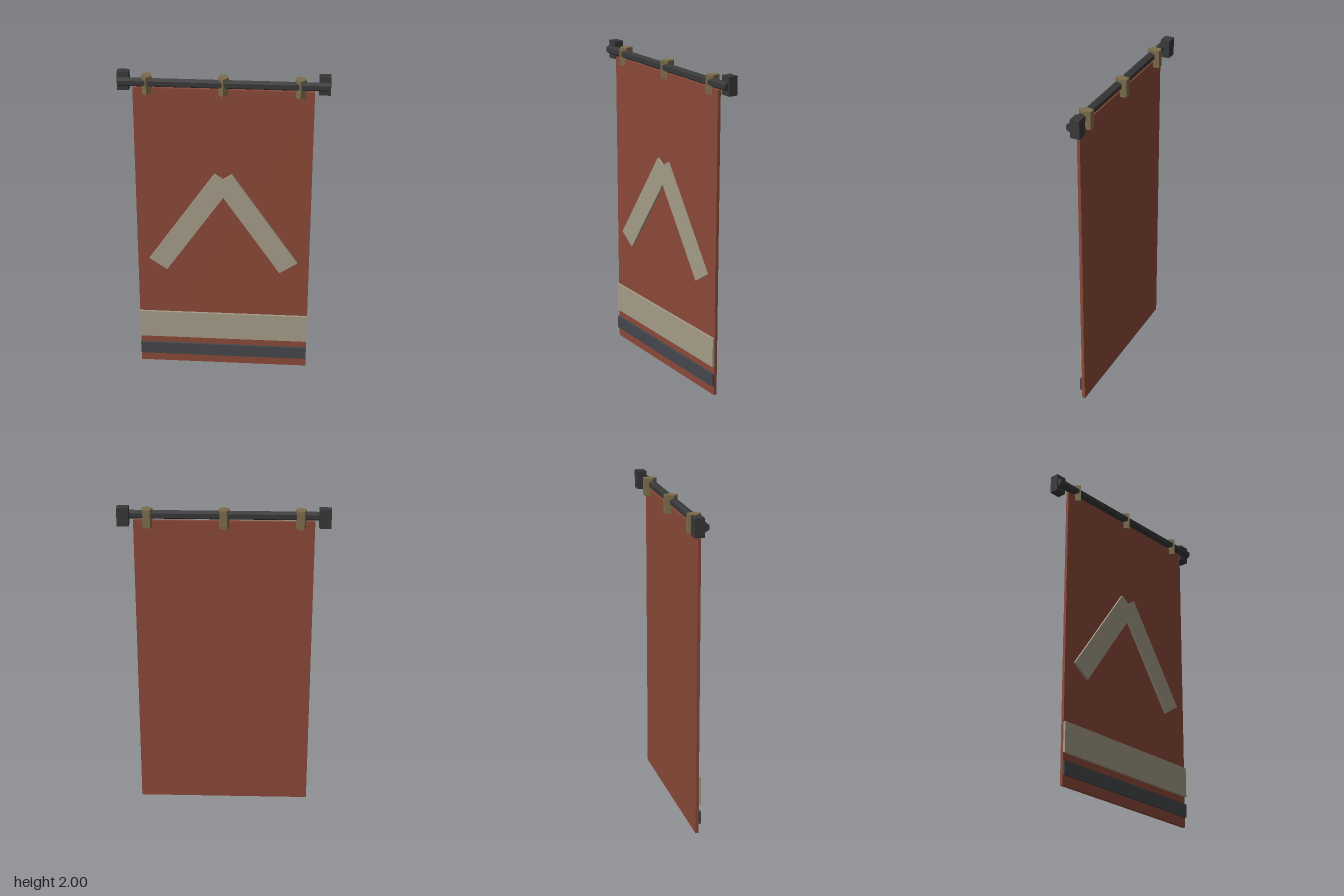
import * as THREE from 'three';

const mat = (color) => new THREE.MeshStandardMaterial({ color, flatShading: true });

export function createModel() {
  const model = new THREE.Group();
  model.name = 'hangingBanner';
  const red = mat(0x8a4938), cream = mat(0xa59c88), slate = mat(0x45474c);
  const iron = mat(0x383838), brass = mat(0x7c6c4c);

  const add = (name, geometry, material, x, y, z) => {
    const mesh = new THREE.Mesh(geometry, material);
    mesh.name = name;
    mesh.position.set(x, y, z);
    model.add(mesh);
    return mesh;
  };

  // Cloth panel with two raised stripes near the hem
  add('cloth', new THREE.BoxGeometry(1.07, 1.91, 0.019), red, 0, 0.955, 0.0105);
  add('wideStripe', new THREE.BoxGeometry(1.07, 0.187, 0.014), cream, 0, 0.286, 0.027);
  add('narrowStripe', new THREE.BoxGeometry(1.07, 0.082, 0.014), slate, 0, 0.102, 0.027);

  // Hexagonal hanging rod
  const rod = new THREE.CylinderGeometry(0.027, 0.027, 1.24, 6, 1, false, Math.PI / 6);
  rod.rotateZ(Math.PI / 2);
  add('rod', rod, iron, 0, 1.943, 0.015);

  // Chevron arms and wall brackets, mirrored left and right
  for (const [side, s] of [['left', 1], ['right', -1]]) {
    const arm = add(side + 'ChevronArm', new THREE.BoxGeometry(0.133, 0.724, 0.014), cream, s * 0.203, 1.032, 0.027);
    arm.rotation.z = s * 0.6;
    add(side + 'Bracket', new THREE.BoxGeometry(0.07, 0.112, 0.057), iron, s * 0.592, 1.944, -0.0175);
  }

  // Five-sided clips gripping the rod and the cloth's top edge
  const clip = new THREE.CylinderGeometry(0.045, 0.045, 0.11, 5);
  clip.scale(0.75, 1, 1);
  for (const [name, x] of [['leftClip', 0.452], ['middleClip', 0], ['rightClip', -0.452]]) {
    add(name, clip, brass, x, 1.928, 0.001);
  }

  return model;
}
